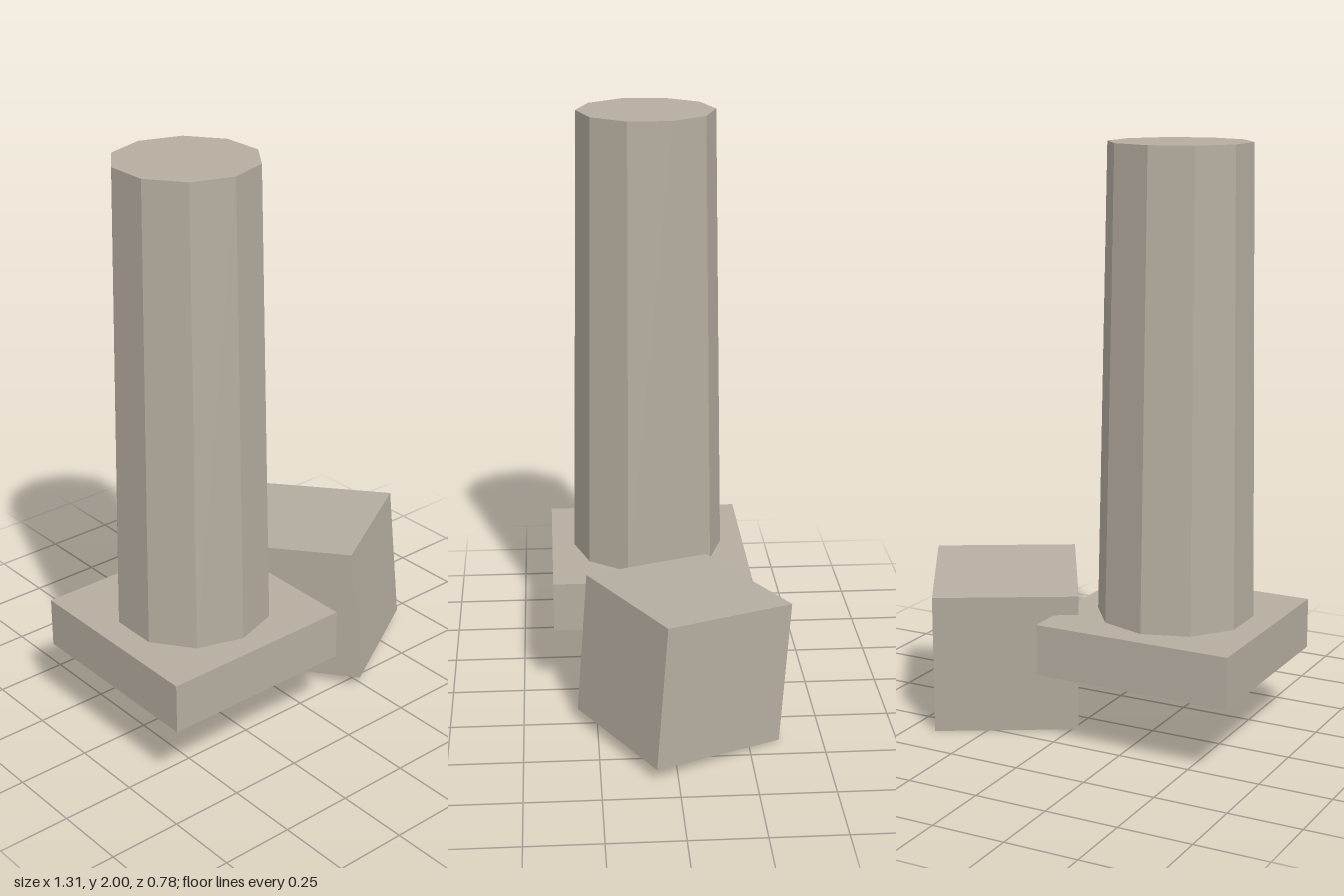
import * as THREE from 'three';

export function createModel() {
  const model = new THREE.Group();
  model.name = 'brokenColumn';
  const stone = new THREE.MeshStandardMaterial({ color: 0xb5ada0, flatShading: true });
  stone.name = 'weathered stone';

  const add = (name, geometry, x, y, z) => {
    const mesh = new THREE.Mesh(geometry, stone);
    mesh.name = name;
    mesh.position.set(x, y, z);
    model.add(mesh);
    return mesh;
  };

  // Square plinth and the tapered ten-sided shaft standing on it
  add('plinth', new THREE.BoxGeometry(0.69, 0.174, 0.69), -0.31, 0.337, 0.045);
  add('shaft', new THREE.CylinderGeometry(0.237, 0.265, 1.576, 10), -0.31, 1.212, 0.045);

  // Fallen block, turned and tipped backwards
  const block = add('fallenBlock', new THREE.BoxGeometry(0.492, 0.492, 0.492), 0.305, 0.267, -0.038);
  block.rotation.set(-THREE.MathUtils.degToRad(5), Math.PI / 6, 0, 'YXZ');

  return model;
}
